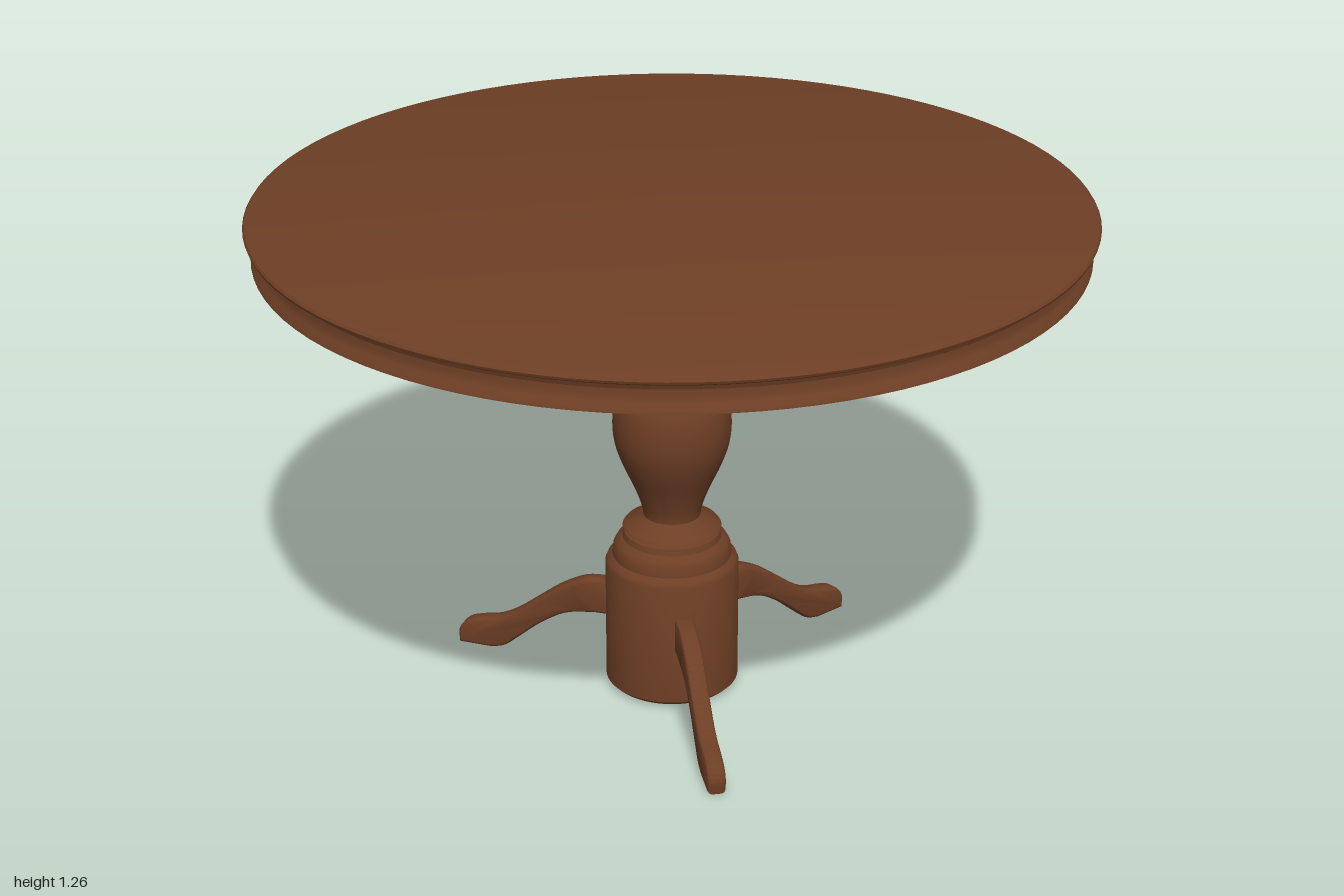
import * as THREE from 'three';
import { toCreasedNormals } from 'three/addons/utils/BufferGeometryUtils.js';

const wood = new THREE.MeshStandardMaterial({ color: 0x6e3f25 });
wood.name = 'brown wood';

const points = (list) => list.map(([x, y]) => new THREE.Vector2(x, y));

// Turned part from [radius, height] points, bottom to top
function turned(name, profile, segments) {
  const geometry = toCreasedNormals(new THREE.LatheGeometry(profile, segments), 0.6);
  const mesh = new THREE.Mesh(geometry, wood);
  mesh.name = name;
  return mesh;
}

// Curved leg: side outline extruded with rounded edges, pointing along +x
function legGeometry() {
  const bevel = 0.012;
  const shape = new THREE.Shape();
  shape.moveTo(0.12, 0.165);
  shape.lineTo(0.2, 0.163);
  shape.splineThru(points([[0.28, 0.148], [0.35, 0.108], [0.42, 0.05], [0.455, 0.022], [0.49, 0.012]]));
  shape.lineTo(0.563, 0.012);
  shape.splineThru(points([[0.563, 0.035], [0.545, 0.055], [0.51, 0.067], [0.46, 0.079],
    [0.41, 0.106], [0.35, 0.152], [0.29, 0.197], [0.23, 0.228], [0.18, 0.235]]));
  shape.lineTo(0.12, 0.235);
  const geometry = new THREE.ExtrudeGeometry(shape, {
    depth: 0.022, bevelEnabled: true, bevelSize: bevel, bevelThickness: bevel,
    bevelSegments: 4, curveSegments: 28,
  });
  geometry.translate(0, 0, -0.011);
  return toCreasedNormals(geometry, 0.7);
}

export function createModel() {
  const table = new THREE.Group();
  table.name = 'roundPedestalTable';

  // Table top slab with rounded lip
  table.add(turned('tableTop', points([
    [0, 1.225], [0.97, 1.225], [0.975, 1.241], [0.99, 1.243], [0.998, 1.248],
    [1, 1.254], [0.996, 1.26], [0.985, 1.263], [0, 1.263],
  ]), 96));

  // Moulded apron ring below the slab, open in the middle
  table.add(turned('apron', points([
    [0.94, 1.226], [0.94, 1.175], [0.985, 1.175], [0.983, 1.182], [0.972, 1.195],
    [0.967, 1.21], [0.967, 1.238],
  ]), 96));

  // Cylindrical base block with stepped shoulder
  table.add(turned('baseBlock', points([
    [0, 0.005], [0.155, 0.005], [0.165, 0.015], [0.165, 0.33], [0.16, 0.342], [0.147, 0.352],
    [0.145, 0.375], [0.137, 0.39], [0.122, 0.4], [0.118, 0.415], [0.1, 0.418], [0.1, 0.424],
    [0.122, 0.427], [0.118, 0.433], [0.085, 0.447], [0.07, 0.46],
  ]), 64));

  // Vase-shaped column, smoothed through a few radii
  const vase = new THREE.SplineCurve(points([
    [0.07, 0.455], [0.075, 0.485], [0.095, 0.54], [0.122, 0.6], [0.14, 0.655], [0.145, 0.71],
    [0.138, 0.765], [0.115, 0.81], [0.08, 0.832],
  ]));
  table.add(turned('vaseColumn', vase.getPoints(32), 64));

  // Thin rings between the vase and the bell
  table.add(turned('columnRings', points([
    [0.08, 0.828], [0.065, 0.838], [0.1, 0.843], [0.105, 0.848], [0.07, 0.86], [0.075, 0.866],
    [0.08, 0.876], [0.07, 0.884], [0.065, 0.888], [0.075, 0.893], [0.07, 0.902], [0.06, 0.91],
  ]), 64));

  // Bell-shaped neck
  table.add(turned('bellNeck', points([
    [0.06, 0.902], [0.095, 0.907], [0.107, 0.915], [0.106, 0.93], [0.097, 0.955],
    [0.087, 0.985], [0.078, 1.015], [0.07, 1.045],
  ]), 64));

  // Flared collar carrying the top
  table.add(turned('topCollar', points([
    [0.068, 1.04], [0.085, 1.048], [0.11, 1.068], [0.145, 1.09], [0.185, 1.108], [0.18, 1.116],
    [0.155, 1.132], [0.145, 1.15], [0.145, 1.226],
  ]), 64));

  // Three legs spread evenly around the base
  const geometry = legGeometry();
  for (let i = 0; i < 3; i++) {
    const leg = new THREE.Mesh(geometry, wood);
    leg.name = `leg${i + 1}`;
    leg.rotation.y = Math.PI + (i * Math.PI * 2) / 3;
    table.add(leg);
  }

  return table;
}
